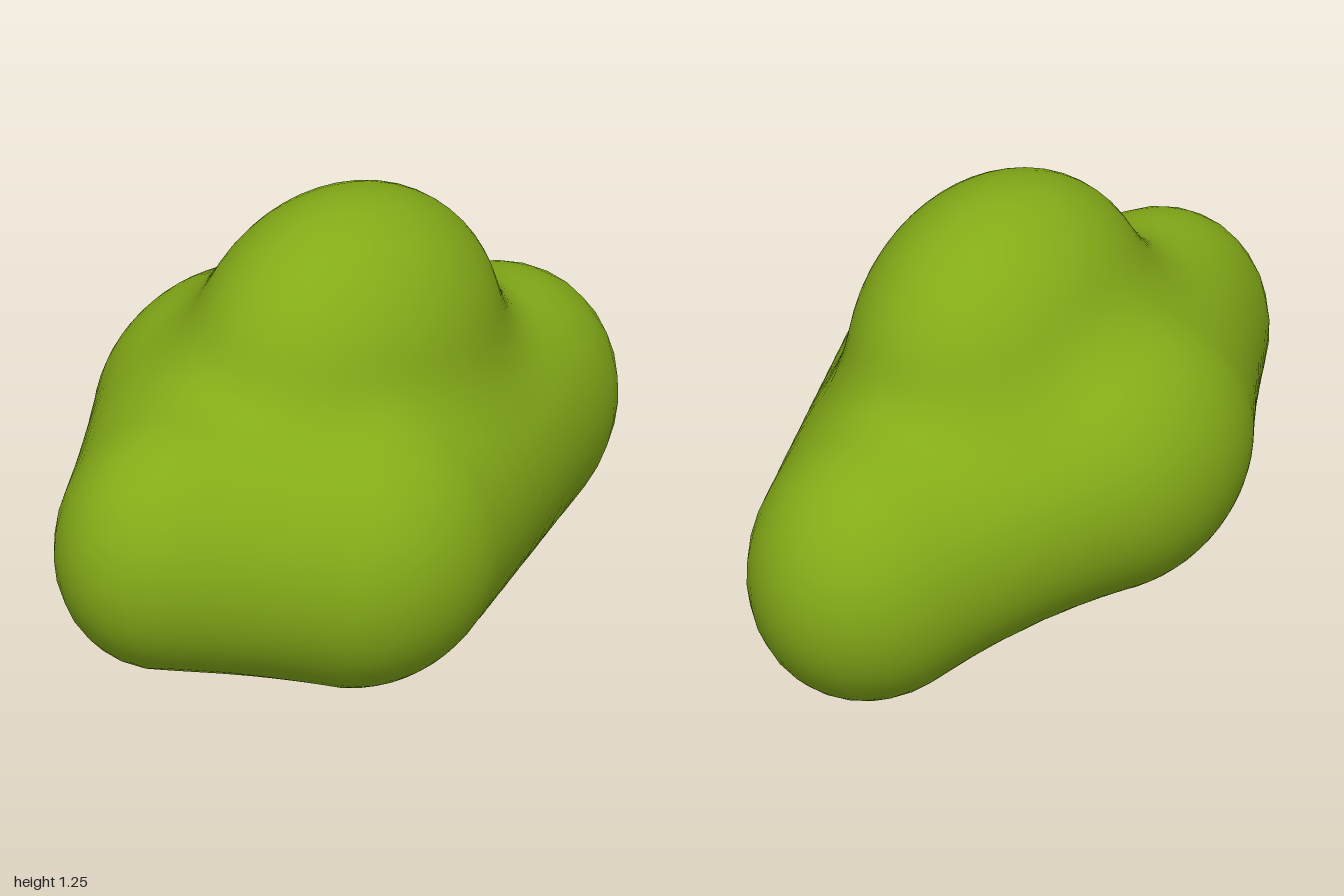
import * as THREE from 'three';
import { mergeVertices } from 'three/addons/utils/BufferGeometryUtils.js';

// Rounded lobes: centre and radii of each ellipsoid
const CROWN = { c: [0.015, 0.78, -0.02], r: [0.365, 0.472, 0.5] };
const LEFT = { c: [0.28, 0.4, 0.2], r: [0.36, 0.4, 0.42] };
const RIGHT = { c: [-0.285, 0.53, 0.05], r: [0.36, 0.39, 0.45] };
const FRONT = { c: [0, 0.48, 0.62], r: [0.3, 0.365, 0.38] };
const BACK = { c: [0, 0.39, -0.6], r: [0.325, 0.385, 0.4] };
const BLEND = 0.12;

// Row of ellipsoids bridging two lobes, narrowed by "pinch" half-way
function bridge(a, b, pinch) {
  const mix = (u, v, t) => u.map((n, i) => THREE.MathUtils.lerp(n, v[i], t));
  const row = [];
  for (let i = 0; i <= 10; i++) {
    const t = i / 10;
    const waist = 1 - pinch * 4 * t * (1 - t);
    row.push({ c: mix(a.c, b.c, t), r: mix(a.r, b.r, t).map((n) => n * waist) });
  }
  return row;
}

const BODY = [
  ...bridge(LEFT, BACK, 0),
  ...bridge(LEFT, FRONT, 0.02),
  ...bridge(LEFT, RIGHT, 0.03),
  ...bridge(RIGHT, FRONT, 0.02),
  ...bridge(RIGHT, BACK, 0.07),
];

// Approximate signed distance to one lobe
function lobeDistance(p, { c, r }) {
  const q = Math.hypot((p.x - c[0]) / r[0], (p.y - c[1]) / r[1], (p.z - c[2]) / r[2]);
  return (q - 1) * Math.min(...r);
}

// Body with the crown softly blended on top
function field(p) {
  const body = Math.min(...BODY.map((lobe) => lobeDistance(p, lobe)));
  const crown = lobeDistance(p, CROWN);
  const h = Math.max(BLEND - Math.abs(body - crown), 0) / BLEND;
  return Math.min(body, crown) - h * h * BLEND * 0.25;
}

// Push each vertex of a sphere out to the blended surface
function foliageGeometry() {
  let geo = new THREE.IcosahedronGeometry(1, 16);
  geo.deleteAttribute('normal');
  geo.deleteAttribute('uv');
  geo = mergeVertices(geo, 1e-4);
  const centre = new THREE.Vector3(0, 0.47, 0);
  const pos = geo.attributes.position;
  const dir = new THREE.Vector3();
  const p = new THREE.Vector3();
  for (let i = 0; i < pos.count; i++) {
    dir.fromBufferAttribute(pos, i).normalize();
    let inside = 0;
    let outside = 1.6;
    for (let k = 0; k < 20; k++) {
      const mid = (inside + outside) / 2;
      p.copy(centre).addScaledVector(dir, mid);
      if (field(p) < 0) inside = mid;
      else outside = mid;
    }
    p.copy(centre).addScaledVector(dir, inside);
    pos.setXYZ(i, p.x, p.y, p.z);
  }
  geo.computeVertexNormals();
  return geo;
}

export function createModel() {
  const model = new THREE.Group();
  model.name = 'bush';
  const foliage = new THREE.Mesh(
    foliageGeometry(),
    new THREE.MeshStandardMaterial({ color: 0x84ab18 })
  );
  foliage.name = 'foliage';
  model.add(foliage);
  return model;
}
